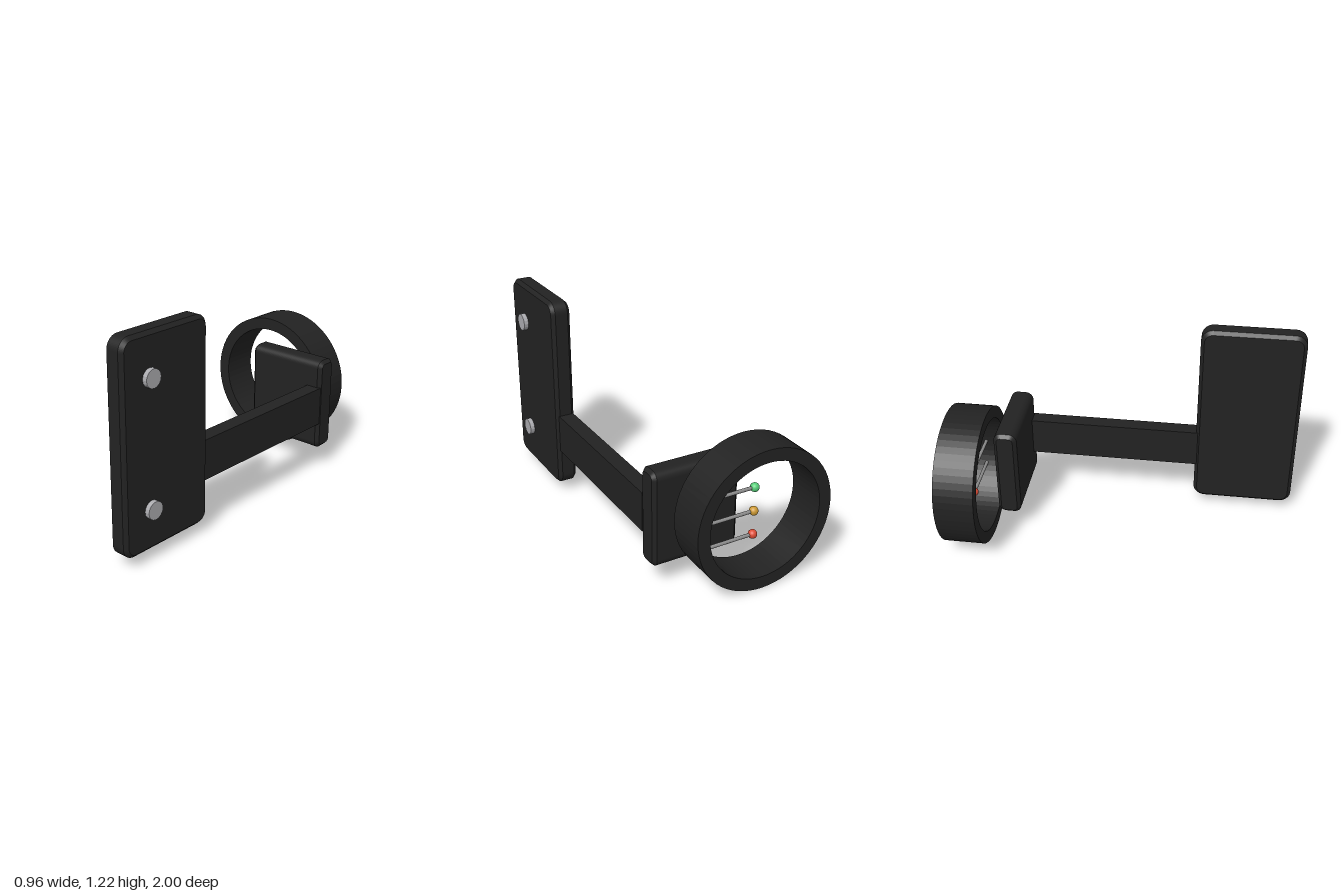
import * as THREE from 'three';

const mat = (name, color) => {
  const m = new THREE.MeshStandardMaterial({ color });
  m.name = name;
  return m;
};

export function createModel() {
  const black = mat('matte black', 0x222222);
  const steel = mat('bolt steel', 0xaaaaae);
  const rodGrey = mat('rod grey', 0x8c8c8c);
  const green = mat('green bead', 0x55cc77);
  const amber = mat('amber bead', 0xcc9933);
  const red = mat('red bead', 0xdd4a33);

  const model = new THREE.Group();
  model.name = 'pinSight';

  const add = (name, geometry, material, x, y, z) => {
    const mesh = new THREE.Mesh(geometry, material);
    mesh.name = name;
    mesh.position.set(x, y, z);
    model.add(mesh);
    return mesh;
  };

  // Plate rounded in its side outline, extruded across x with chamfered ends
  const plate = (width, height, depth, radius, bevel = 0.02) => {
    const a = depth / 2, b = height / 2, s = new THREE.Shape();
    const corners = [[a, b, 0], [-a, b, 1], [-a, -b, 2], [a, -b, 3]];
    for (const [u, v, q] of corners) {
      const start = q * Math.PI / 2;
      s.absarc(u - Math.sign(u) * radius, v - Math.sign(v) * radius, radius, start, start + Math.PI / 2);
    }
    const core = width - 2 * bevel;
    const g = new THREE.ExtrudeGeometry(s, {
      depth: core, bevelEnabled: true, bevelThickness: bevel, bevelSize: bevel,
      bevelOffset: -bevel, bevelSegments: 1, curveSegments: 8,
    });
    return g.translate(0, 0, -core / 2).rotateY(Math.PI / 2);
  };

  // Mounting plate, arm and rear block
  add('mountPlate', plate(0.115, 1.16, 0.6, 0.07), black, 0.3925, 0.64, 0.7);
  add('arm', new THREE.BoxGeometry(0.09, 0.23, 1.04), black, 0.39, 0.41, -0.1);
  add('rearBlock', plate(0.51, 0.555, 0.135, 0.045), black, 0.18, 0.408, -0.677);

  // Sight ring
  const cx = -0.075, cy = 0.408, zRing = -0.885, inner = 0.335;
  const ring = new THREE.Shape().absarc(0, 0, 0.406, 0, Math.PI * 2);
  ring.holes.push(new THREE.Path().absarc(0, 0, inner, 0, Math.PI * 2, true));
  const ringGeometry = new THREE.ExtrudeGeometry(ring, { depth: 0.23, bevelEnabled: false, curveSegments: 32 });
  add('sightRing', ringGeometry.translate(0, 0, -0.115), black, cx, cy, zRing);

  // Mounting bolts
  for (const y of [0.29, 0.99]) {
    const bolt = new THREE.CylinderGeometry(0.05, 0.05, 0.035, 16).toNonIndexed();
    bolt.computeVertexNormals();
    add('bolt', bolt.rotateZ(-Math.PI / 2), steel, 0.4595, y, 0.815);
  }

  // Pins reaching from the ring wall to a coloured bead
  [[-0.14, red], [0, amber], [0.14, green]].forEach(([dy, bead]) => {
    const length = Math.sqrt(inner * inner - dy * dy) + 0.01;
    const rod = new THREE.CylinderGeometry(0.01, 0.01, length, 12).rotateZ(Math.PI / 2);
    add('pinRod', rod, rodGrey, cx + length / 2, cy + dy, zRing);
    add('pinBead', new THREE.SphereGeometry(0.025, 20, 14), bead, cx, cy + dy, zRing);
  });

  return model;
}
